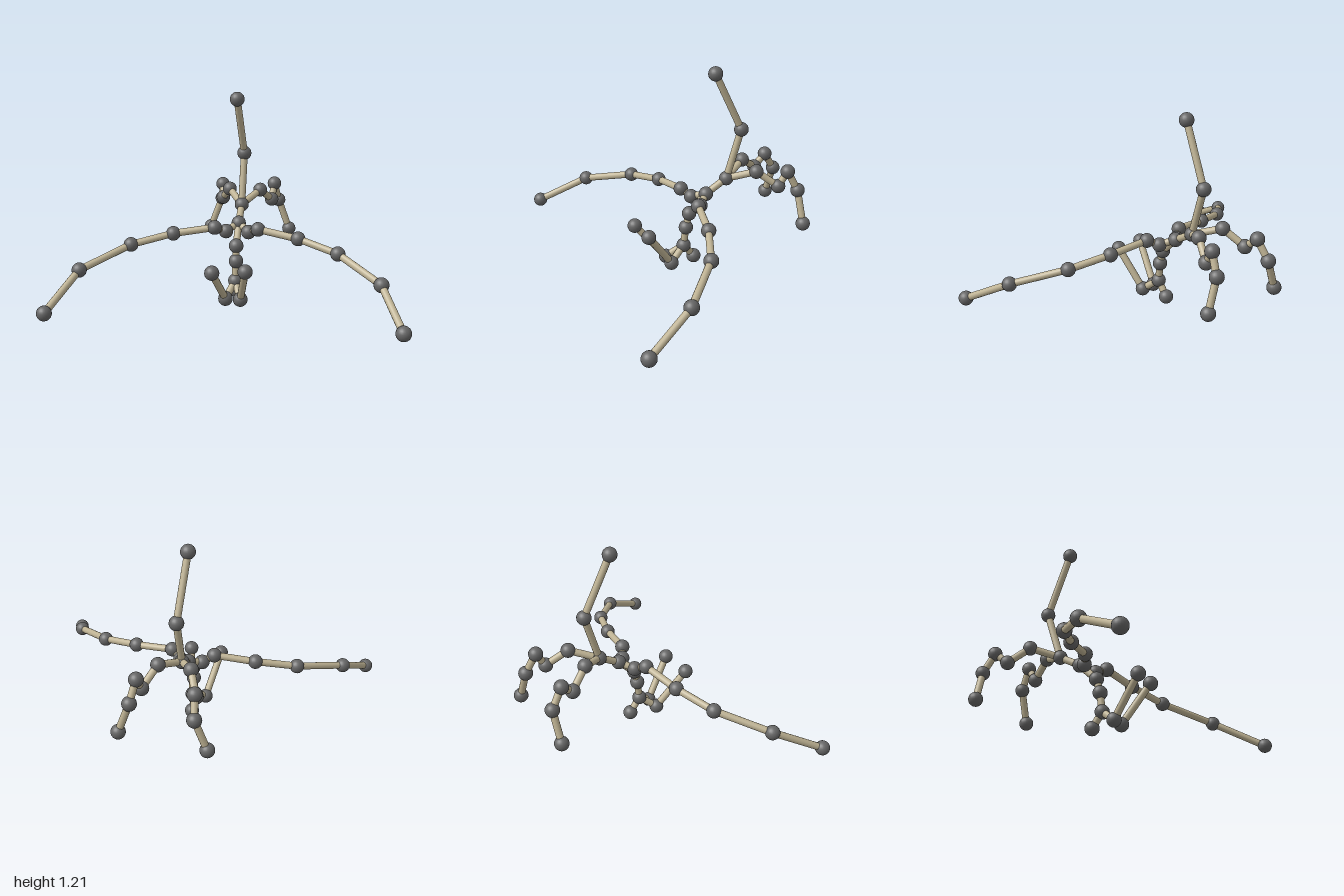
import * as THREE from 'three';

const JOINT_R = 0.0425, BONE_R = 0.021;

export function createModel() {
  const root = new THREE.Group();
  root.name = 'wingedSkeleton';

  const jointMat = new THREE.MeshStandardMaterial({ color: 0x666666 });
  const boneMat = new THREE.MeshStandardMaterial({ color: 0xbfb394 });
  const jointGeo = new THREE.SphereGeometry(JOINT_R, 20, 14);
  const boneGeo = new THREE.CylinderGeometry(BONE_R, BONE_R, 1, 12, 1);
  const up = new THREE.Vector3(0, 1, 0);

  // A chain of ball joints linked by rods; it starts at a joint that already exists
  function chain(name, start, points, mirror = 1) {
    const group = new THREE.Group();
    group.name = name;
    let a = new THREE.Vector3(...start);
    points.forEach(([x, y, z], i) => {
      const b = new THREE.Vector3(x * mirror, y, z);
      const dir = b.clone().sub(a);
      const bone = new THREE.Mesh(boneGeo, boneMat);
      bone.name = `${name}Bone${i + 1}`;
      bone.position.copy(a).add(b).multiplyScalar(0.5);
      bone.scale.y = dir.length();
      bone.quaternion.setFromUnitVectors(up, dir.normalize());
      const joint = new THREE.Mesh(jointGeo, jointMat);
      joint.name = `${name}Joint${i + 1}`;
      joint.position.copy(b);
      group.add(bone, joint);
      a = b;
    });
    root.add(group);
  }

  const hip = [0, 0.518, -0.235];
  const chest = [0, 0.442, -0.104];
  const head = [0, 0.132, 0.04];

  // Pelvis joint
  const pelvis = new THREE.Mesh(jointGeo, jointMat);
  pelvis.name = 'pelvisJoint';
  pelvis.position.set(...hip);
  root.add(pelvis);

  // Body line: spine, neck, snout and raised tail
  chain('spine', hip, [chest]);
  chain('neck', chest, [[0, 0.335, 0.004], [0.002, 0.249, 0.026], head]);
  chain('snout', head, [[0, 0.046, -0.024]]);
  chain('tail', hip, [[0.003, 0.814, -0.326], [-0.018, 1.168, -0.167]]);

  // Wings
  const wing = [
    [0.066, 0.409, -0.038], [0.127, 0.441, 0.002], [0.363, 0.409, 0.047],
    [0.594, 0.361, 0.139], [0.839, 0.273, 0.362], [0.957, 0.121, 0.643],
  ];
  chain('leftWing', chest, wing);
  chain('rightWing', chest, wing, -1);

  // Horns, slightly uneven at the tips
  chain('leftHorn', head, [[0.042, 0.055, 0.137], [0.091, 0.285, 0.296]]);
  chain('rightHorn', head, [[-0.044, 0.056, 0.136], [-0.094, 0.274, 0.311]]);

  // Hind legs, posed a little differently on each side
  const thigh = [[0.094, 0.572, -0.384], [0.153, 0.482, -0.5]];
  chain('leftLeg', hip, [...thigh,
    [0.164, 0.57, -0.554], [0.187, 0.448, -0.613], [0.254, 0.257, -0.62]]);
  chain('rightLeg', hip, [...thigh,
    [0.167, 0.548, -0.578], [0.184, 0.434, -0.648], [0.254, 0.246, -0.638]], -1);

  return root;
}
